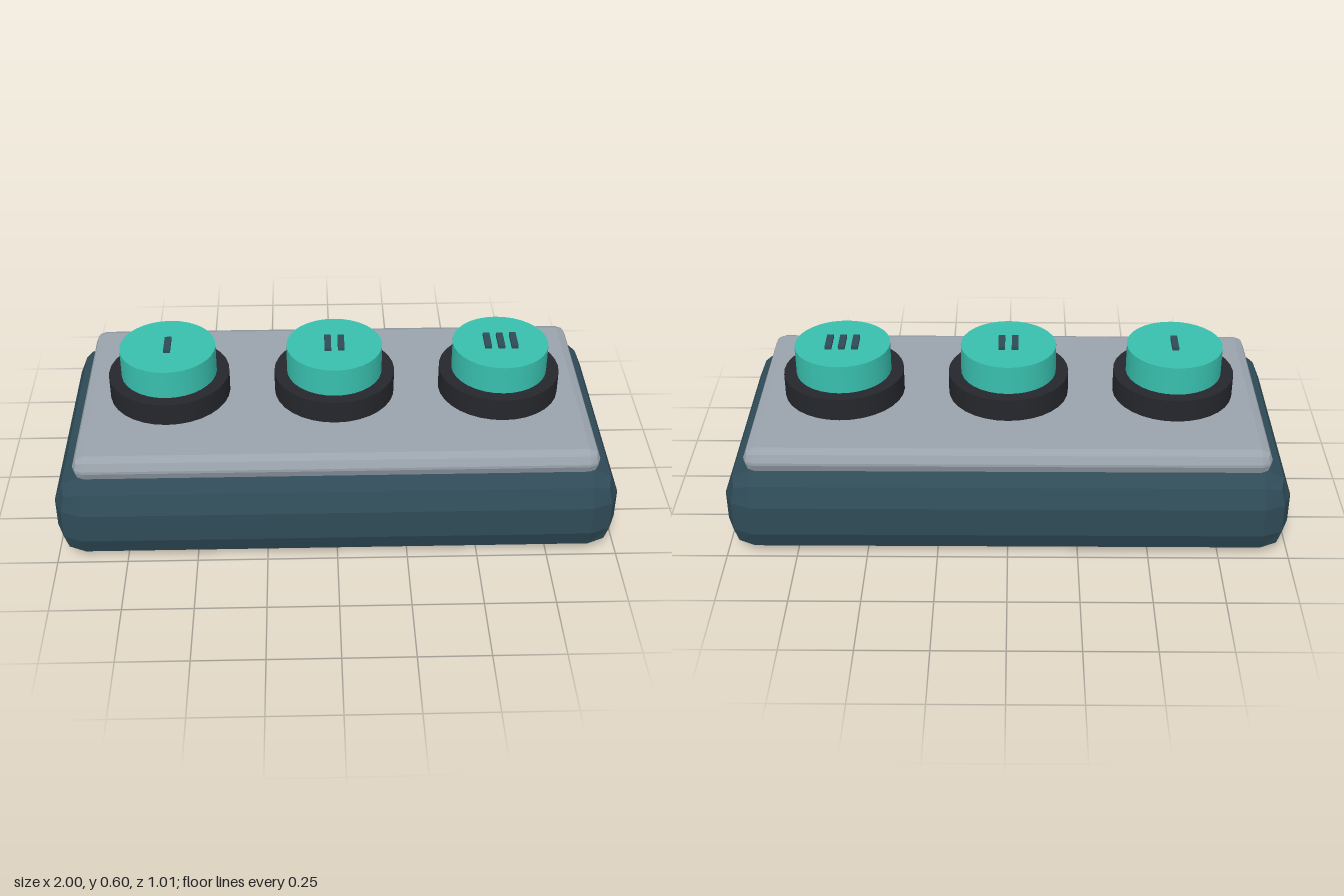
import * as THREE from 'three';
import { RoundedBoxGeometry } from 'three/addons/geometries/RoundedBoxGeometry.js';

const material = (color, flatShading = false) => new THREE.MeshStandardMaterial({ color, flatShading });

function addPart(parent, name, geometry, mat, x, y, z = 0) {
  const mesh = new THREE.Mesh(geometry, mat);
  mesh.name = name;
  mesh.position.set(x, y, z);
  parent.add(mesh);
  return mesh;
}

export function createModel() {
  const model = new THREE.Group();
  model.name = 'buttonPanel';

  const slate = material(0x2f4b57, true);
  const grey = material(0x9aa3ad, true);
  const black = material(0x25272c);
  const teal = material(0x38bfae);

  // Chamfered housing and the plate on top of it
  addPart(model, 'housing', new RoundedBoxGeometry(2, 0.312, 1.01, 1, 0.1), slate, 0, 0.156);
  addPart(model, 'facePlate', new RoundedBoxGeometry(1.85, 0.09, 0.88, 1, 0.04), grey, 0, 0.352);

  // Three buttons, marked with one, two and three bars
  const collarGeometry = new THREE.CylinderGeometry(0.22, 0.22, 0.09, 32);
  const capGeometry = new THREE.CylinderGeometry(0.174, 0.174, 0.13, 32);
  const barGeometry = new THREE.BoxGeometry(0.024, 0.02, 0.09);

  for (let i = 0; i < 3; i++) {
    const button = new THREE.Group();
    button.name = 'button' + (i + 1);
    button.position.x = (i - 1) * 0.605;
    addPart(button, 'collar', collarGeometry, black, 0, 0.437);
    addPart(button, 'cap', capGeometry, teal, 0, 0.525);
    for (let b = 0; b <= i; b++) {
      addPart(button, 'markBar', barGeometry, slate, (b - i / 2) * 0.048, 0.592);
    }
    model.add(button);
  }

  return model;
}
